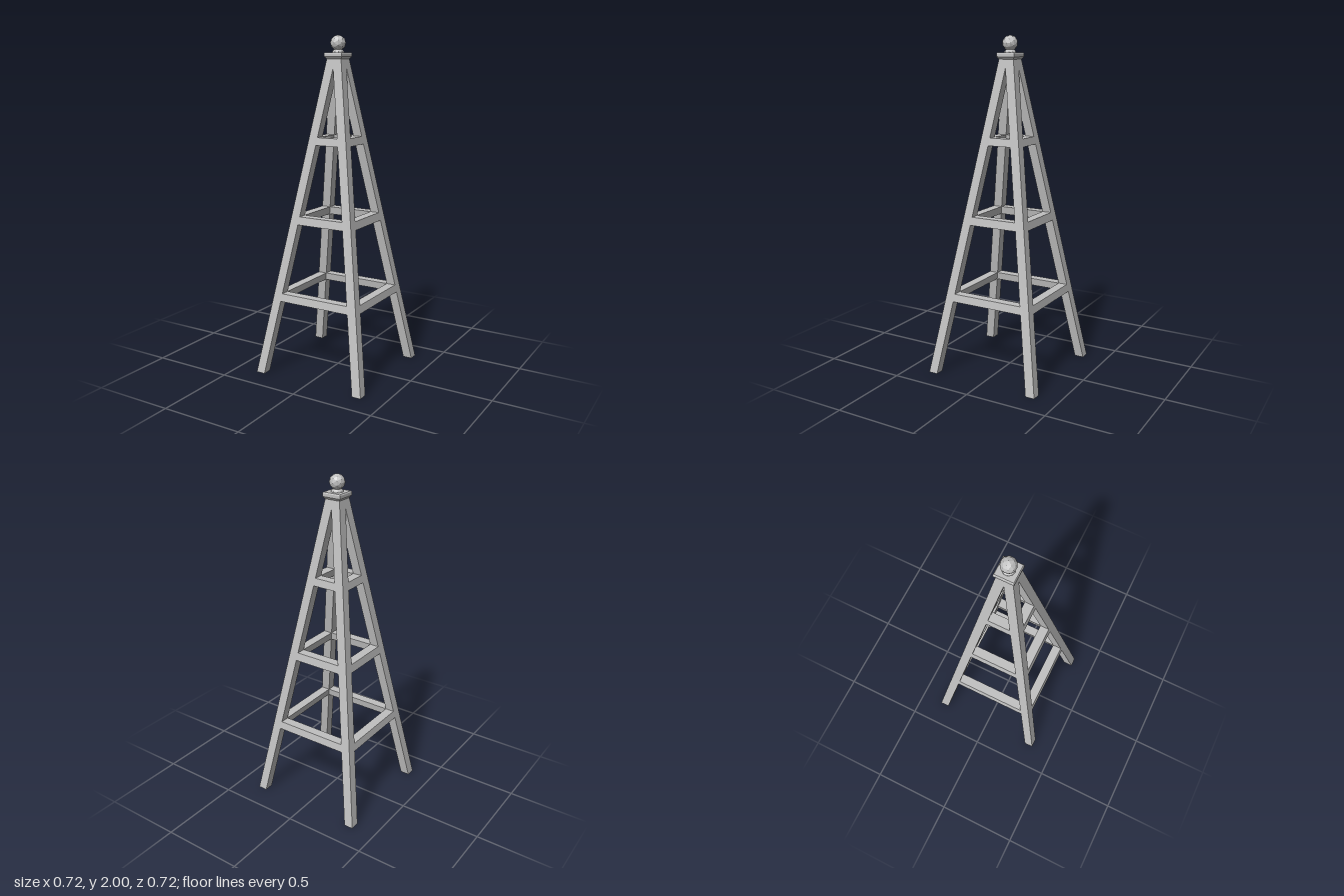
import * as THREE from 'three';

const SLOPE = 0.1676;                       // inward lean per unit of height
const outer = (y) => 0.36 - SLOPE * y;      // outer face of the legs
const inner = (y) => 0.304 - SLOPE * y;     // inner face of the legs

// Unit box whose corners are moved by a rule, with flat faces
function shapedBox(rule) {
  const geo = new THREE.BoxGeometry(1, 1, 1);
  const p = geo.attributes.position;
  for (let i = 0; i < p.count; i++) p.setXYZ(i, ...rule(p.getX(i), p.getY(i), p.getZ(i)));
  geo.computeVertexNormals();
  return geo;
}

// Turned profile with hard facets
function facetedLathe(points, sides, phiStart = 0) {
  const pts = points.map(([r, y]) => new THREE.Vector2(r, y));
  const geo = new THREE.LatheGeometry(pts, sides, phiStart).toNonIndexed();
  geo.computeVertexNormals();
  return geo;
}

export function createModel() {
  const group = new THREE.Group();
  group.name = 'obelisk';
  const paint = new THREE.MeshStandardMaterial({ color: 0xc0c0c0 });
  paint.name = 'grey paint';

  const add = (name, geo, turn = 0) => {
    const mesh = new THREE.Mesh(geo, paint);
    mesh.name = name;
    mesh.rotation.y = turn * Math.PI / 2;
    group.add(mesh);
    return mesh;
  };

  // Four leaning legs, square in plan
  const legTop = 1.875;
  const leg = shapedBox((x, y, z) => {
    const h = y > 0 ? legTop : 0;
    return [x > 0 ? outer(h) : inner(h), h, z > 0 ? outer(h) : inner(h)];
  });
  for (let i = 0; i < 4; i++) add('leg' + (i + 1), leg, i);

  // Three square frames of rails, flush with the legs
  [[0.449, 0.495], [0.91, 0.958], [1.375, 1.42]].forEach(([low, high], level) => {
    const rail = shapedBox((x, y, z) => {
      const h = y > 0 ? high : low;
      return [Math.sign(x) * inner(h), h, z > 0 ? outer(h) : inner(h)];
    });
    for (let i = 0; i < 4; i++) add(`rail${level + 1}Side${i + 1}`, rail, i);
  });

  // Square moulded cap
  const capProfile = [[0, 1.862], [0.046, 1.862], [0.058, 1.878], [0.058, 1.896], [0.054, 1.902], [0, 1.902]];
  add('cap', facetedLathe(capProfile.map(([r, y]) => [r * Math.SQRT2, y]), 4, Math.PI / 4));

  // Neck and ball finial
  add('finialNeck', facetedLathe([[0.036, 1.9], [0.034, 1.908], [0.024, 1.918], [0.024, 1.93]], 10));
  const ball = new THREE.IcosahedronGeometry(0.045, 1);
  ball.computeVertexNormals();
  add('finialBall', ball).position.y = 1.955;

  return group;
}
